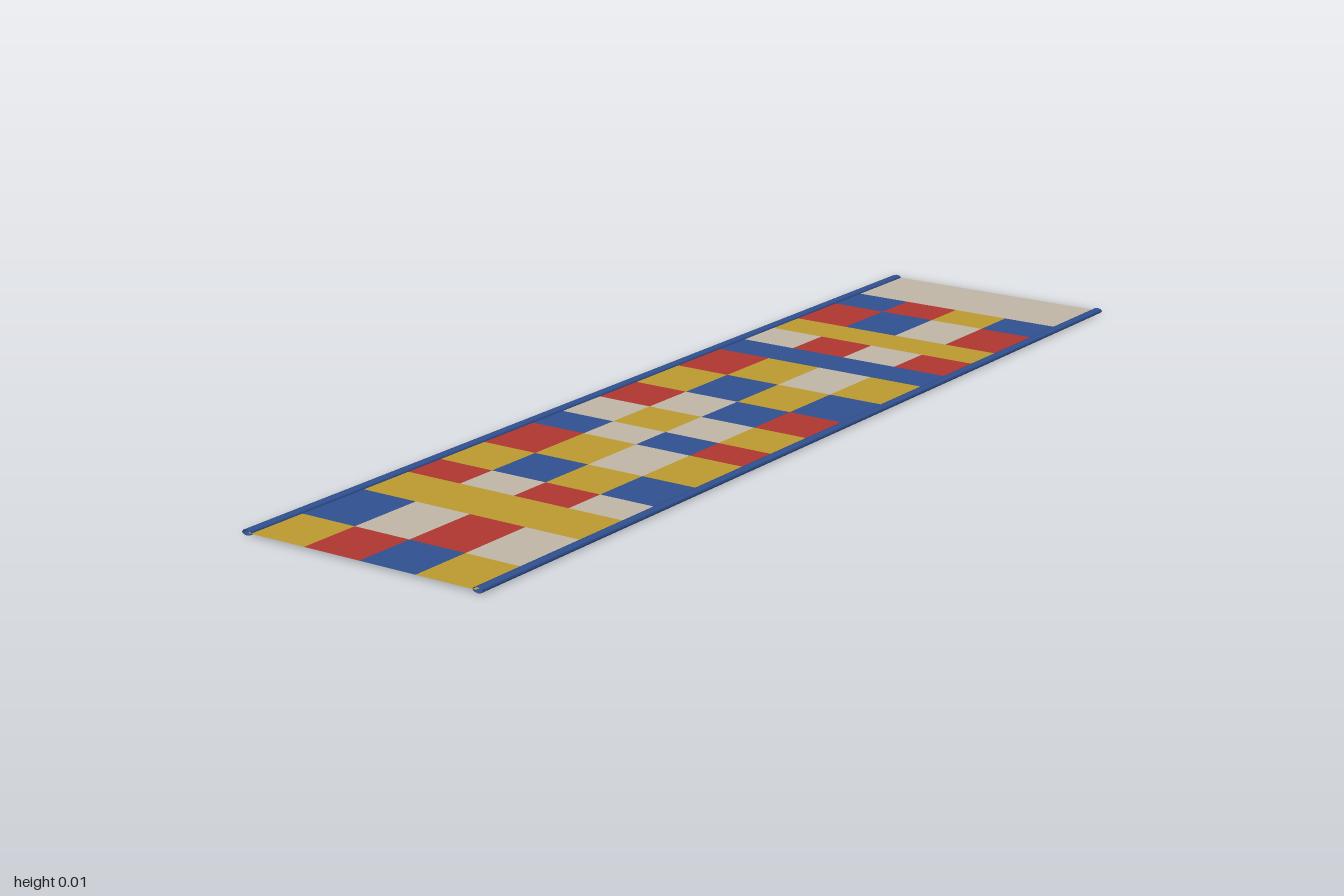
import * as THREE from 'three';

export function createModel() {
  const runner = new THREE.Group();
  runner.name = 'wovenRunner';
  const make = (name, color) => {
    const m = new THREE.MeshStandardMaterial({ color, side: THREE.DoubleSide });
    m.name = name;
    return m;
  };
  const mats = {
    B: make('blue', 0x305090),
    R: make('red', 0xb03530),
    Y: make('gold', 0xbc9a30),
    W: make('cream', 0xc0b6a6),
  };

  // Bands from back to front: colours of the four columns and the band's front edge
  const bands = [
    ['WWWW', -0.84], ['BRYB', -0.745], ['RBWR', -0.605], ['YYYY', -0.517],
    ['WRWR', -0.415], ['BBBB', -0.33], ['RYWY', -0.19], ['YBYB', -0.055],
    ['RWBR', 0.06], ['WYWY', 0.172], ['BWBR', 0.26], ['RYWY', 0.4],
    ['YBYB', 0.52], ['RWRW', 0.607], ['YYYY', 0.723], ['BWRW', 0.877], ['YRBY', 1],
  ];
  const columns = [-0.235, -0.115, 0, 0.115, 0.235];
  const midY = 0.005;

  // Flat woven cloth, one open sheet per patch
  const cloth = new THREE.Group();
  cloth.name = 'cloth';
  let back = -1;
  for (const [colors, front] of bands) {
    const solid = colors === colors[0].repeat(4);
    const edges = solid ? [columns[0], columns[4]] : columns;
    for (let i = 0; i < edges.length - 1; i++) {
      const geo = new THREE.PlaneGeometry(edges[i + 1] - edges[i], front - back).rotateX(-Math.PI / 2);
      const patch = new THREE.Mesh(geo, mats[colors[i]]);
      patch.name = solid ? 'stripe' : 'patch';
      patch.position.set((edges[i] + edges[i + 1]) / 2, midY, (back + front) / 2);
      cloth.add(patch);
    }
    back = front;
  }
  runner.add(cloth);

  // Rolled hems along both long sides, flattened tubes with open ends
  for (const side of [-1, 1]) {
    const geo = new THREE.CylinderGeometry(1, 1, 2, 8, 1, true).rotateX(Math.PI / 2).scale(0.01, 0.005, 1);
    const hem = new THREE.Mesh(geo, mats.B);
    hem.name = side > 0 ? 'leftHem' : 'rightHem';
    hem.position.set(side * 0.238, midY, 0);
    runner.add(hem);
  }
  return runner;
}
